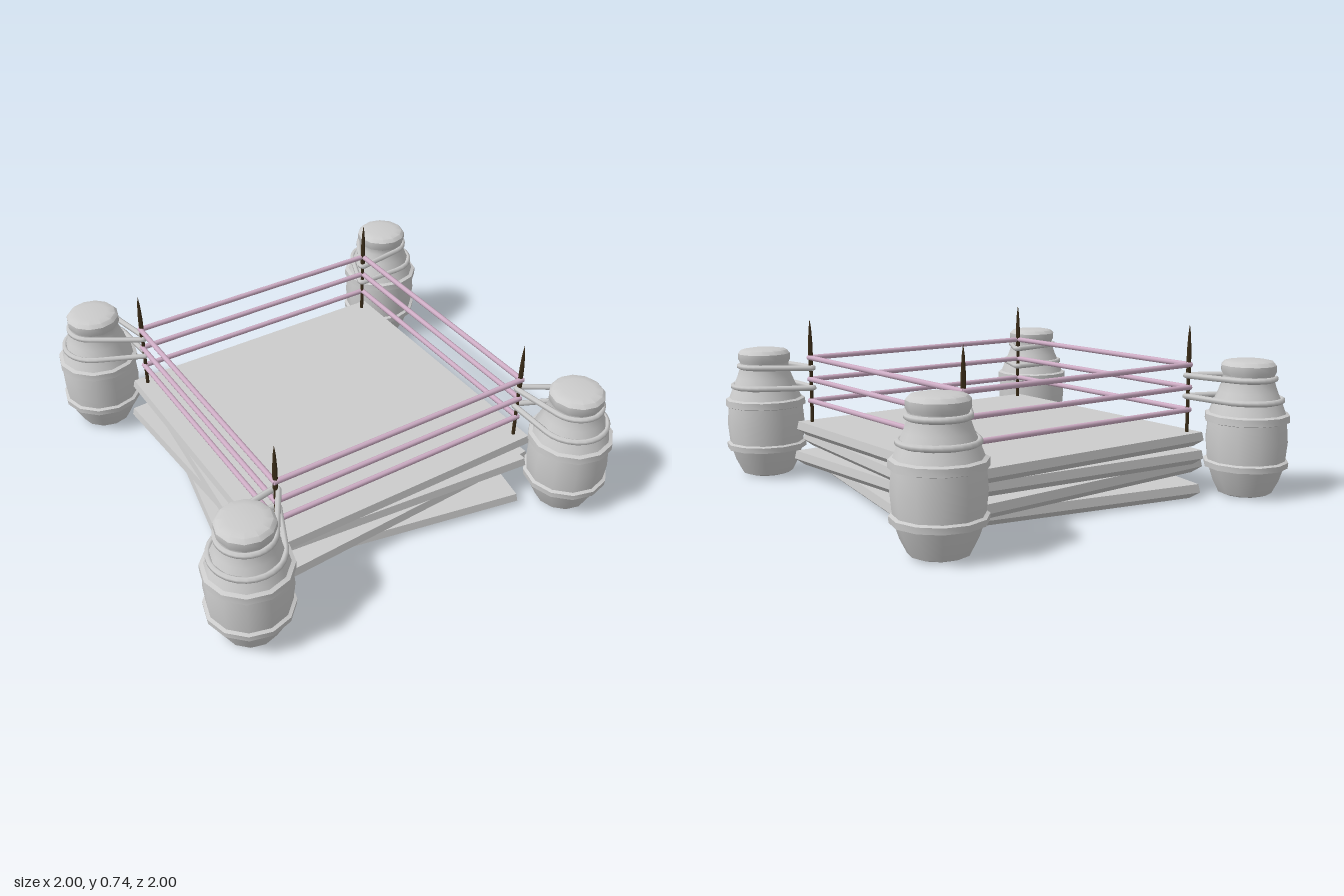
import * as THREE from 'three';
import { toCreasedNormals } from 'three/addons/utils/BufferGeometryUtils.js';

const grey = new THREE.MeshStandardMaterial({ color: 0xcccccc });
const slabGrey = new THREE.MeshStandardMaterial({ color: 0xcccccc, flatShading: true });
const ropePink = new THREE.MeshStandardMaterial({ color: 0xcfaec6 });
const darkWood = new THREE.MeshStandardMaterial({ color: 0x3a2c18 });

const POST = 0.605;
const SLAB = 0.0645;

function add(parent, name, geometry, material, x = 0, y = 0, z = 0) {
  const mesh = new THREE.Mesh(geometry, material);
  mesh.name = name;
  mesh.position.set(x, y, z);
  parent.add(mesh);
  return mesh;
}

function lathe(profile, sides) {
  return new THREE.LatheGeometry(profile.map(([r, y]) => new THREE.Vector2(r, y)), sides);
}

// Square slab: undercut lower edge, nearly upright upper edge
function slabGeometry() {
  const d = Math.SQRT2;
  const g = lathe([[0, 0], [0.625 * d, 0], [0.658 * d, 0.028], [0.652 * d, SLAB], [0, SLAB]], 4);
  return g.rotateY(Math.PI / 4);
}

// Bulging barrel with two hoops, a shoulder and a domed lid
function barrelGeometry() {
  return toCreasedNormals(lathe([
    [0, 0], [0.09, 0], [0.117, 0.01], [0.145, 0.065], [0.164, 0.122],
    [0.182, 0.125], [0.184, 0.15], [0.17, 0.156], [0.178, 0.24], [0.171, 0.322],
    [0.184, 0.326], [0.183, 0.356], [0.166, 0.362], [0.148, 0.41], [0.128, 0.455],
    [0.112, 0.50], [0.111, 0.525], [0.119, 0.54], [0.119, 0.568], [0.105, 0.584], [0.07, 0.59], [0, 0.592],
  ], 12), 0.7);
}

// Rope loop drawn tight round a barrel and a corner post
function loopGeometry(bx, bz, px, pz, radius, y) {
  const dist = Math.hypot(px - bx, pz - bz);
  const toPost = Math.atan2(pz - bz, px - bx);
  const small = 0.012;
  const tangent = Math.acos((radius - small) / dist);
  const points = [];
  const arc = (cx, cz, r, from, to, n) => {
    for (let i = 0; i <= n; i++) {
      const a = toPost + from + (to - from) * i / n;
      points.push(new THREE.Vector3(cx + r * Math.cos(a), y, cz + r * Math.sin(a)));
    }
  };
  arc(bx, bz, radius, tangent, 2 * Math.PI - tangent, 18);
  arc(px, pz, small, -tangent, tangent, 4);
  const path = new THREE.CurvePath();
  points.forEach((p, i) => path.add(new THREE.LineCurve3(p, points[(i + 1) % points.length])));
  return new THREE.TubeGeometry(path, 120, 0.013, 6, true);
}

export function createModel() {
  const model = new THREE.Group();
  model.name = 'fightingRing';

  // Stacked platform, each slab turned a little
  const slab = slabGeometry();
  [-11, 3, -5, 0].forEach((deg, i) => {
    add(model, 'platformSlab' + (i + 1), slab, slabGrey, 0, i * SLAB, 0)
      .rotation.y = THREE.MathUtils.degToRad(deg);
  });

  // Corner posts with spiked tips, and the barrels tied to them
  const barrel = barrelGeometry();
  const post = toCreasedNormals(lathe([
    [0, 0.25], [0.008, 0.25], [0.008, 0.5], [0.011, 0.52], [0.01, 0.62], [0.006, 0.69], [0, 0.735],
  ], 6), 0.6);
  [[0.738, 0.813], [0.813, -0.747], [-0.754, -0.815], [-0.814, 0.748]].forEach(([x, z]) => {
    const px = Math.sign(x) * POST, pz = Math.sign(z) * POST;
    add(model, 'cornerPost', post, darkWood, px, 0, pz);
    add(model, 'barrel', barrel, grey, x, 0, z);
    add(model, 'upperTieRope', loopGeometry(x, z, px, pz, 0.114, 0.51), grey);
    add(model, 'lowerTieRope', loopGeometry(x, z, px, pz, 0.146, 0.418), grey);
  });

  // Three ring ropes on each side
  const rope = new THREE.CylinderGeometry(0.012, 0.012, 1.23, 8).rotateZ(Math.PI / 2);
  for (let side = 0; side < 4; side++) {
    const group = new THREE.Group();
    group.name = 'ringRopes';
    group.rotation.y = side * Math.PI / 2;
    for (const y of [0.357, 0.457, 0.557]) add(group, 'ringRope', rope, ropePink, 0, y, 0.609);
    model.add(group);
  }
  return model;
}
